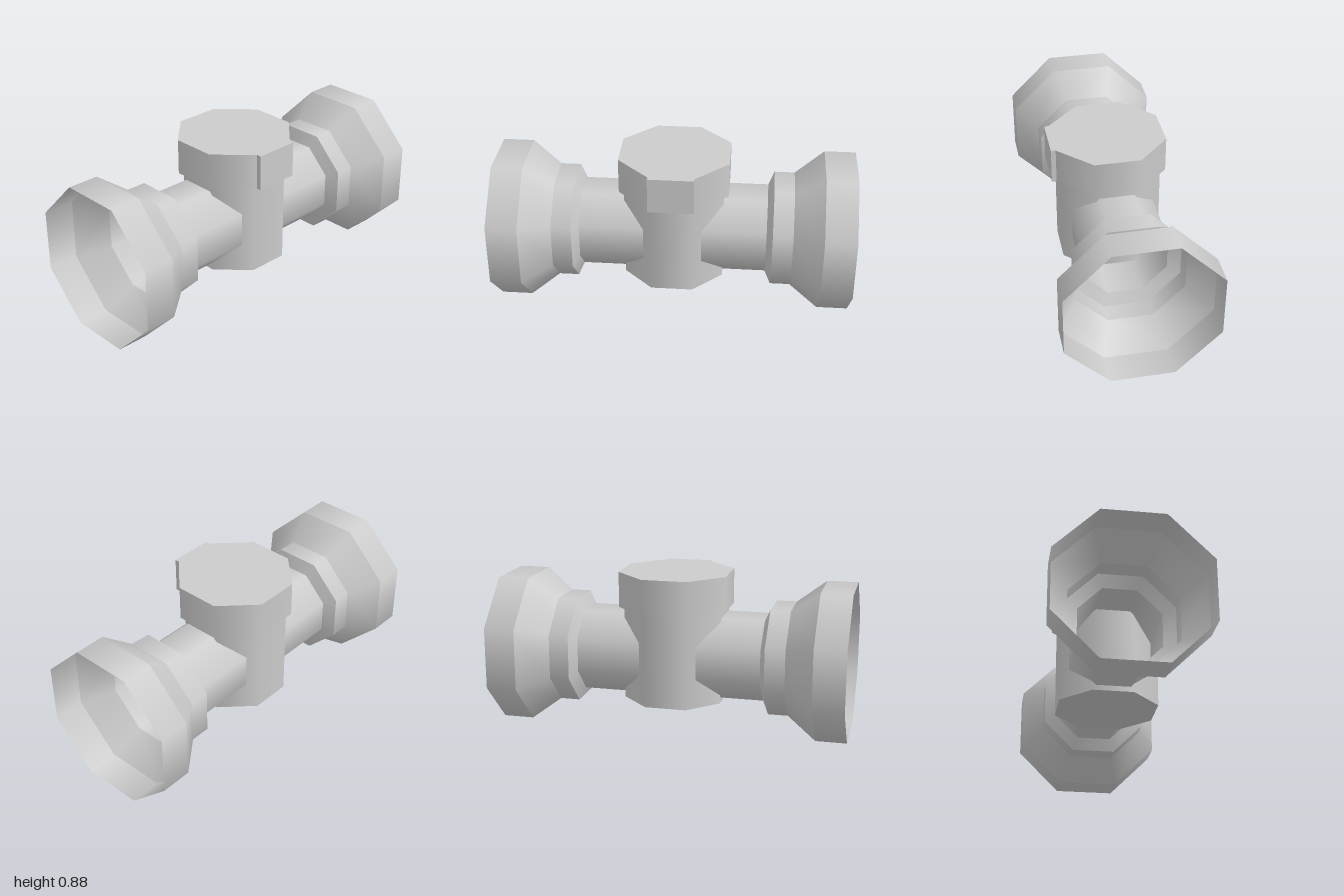
import * as THREE from 'three';

const SIDES = 8;
const CORNER = 1 / Math.cos(Math.PI / SIDES); // flat-to-flat half width -> corner radius
const AXIS_Y = 0.415;

const solid = new THREE.MeshStandardMaterial({ color: 0xcccccc });
const shell = new THREE.MeshStandardMaterial({ color: 0xcccccc, side: THREE.DoubleSide });

// Octagonal prism or frustum with flats facing the axes, smooth around its sides
function octagon(topHalf, bottomHalf, length, open) {
  return new THREE.CylinderGeometry(
    topHalf * CORNER, bottomHalf * CORNER, length, SIDES, 1, open, Math.PI / SIDES);
}

function addMesh(parent, name, geometry, material, x = 0, y = 0, z = 0) {
  const mesh = new THREE.Mesh(geometry, material);
  mesh.name = name;
  mesh.position.set(x, y, z);
  parent.add(mesh);
}

// Open thin-walled pipe arm, widening in steps: [distance along z, half width]
function createArm(name) {
  const profile = [
    [0.15, 0.23], [0.52, 0.23], [0.553, 0.298],
    [0.665, 0.298], [0.826, 0.415], [1.0, 0.415],
  ];
  const names = ['pipe', 'collarBevel', 'collar', 'flare', 'socket'];
  const arm = new THREE.Group();
  arm.name = name;
  names.forEach((part, i) => {
    const [z0, r0] = profile[i];
    const [z1, r1] = profile[i + 1];
    const geometry = octagon(r1, r0, z1 - z0, true).rotateX(Math.PI / 2);
    addMesh(arm, part, geometry, shell, 0, AXIS_Y, (z0 + z1) / 2);
  });
  return arm;
}

export function createModel() {
  const model = new THREE.Group();
  model.name = 'pipeFitting';

  // Two matching arms, front and back
  const front = createArm('frontArm');
  const back = createArm('backArm');
  back.rotation.y = Math.PI;
  model.add(front, back);

  // Upright body, its wider cap and the small tab on the cap's left side
  addMesh(model, 'body', octagon(0.277, 0.277, 0.535, false), solid, 0, 0.4225, 0);
  addMesh(model, 'cap', octagon(0.304, 0.304, 0.2, false), solid, 0, 0.785, 0);
  addMesh(model, 'capTab', new THREE.BoxGeometry(0.05, 0.2, 0.25), solid, 0.305, 0.785, 0);

  return model;
}
